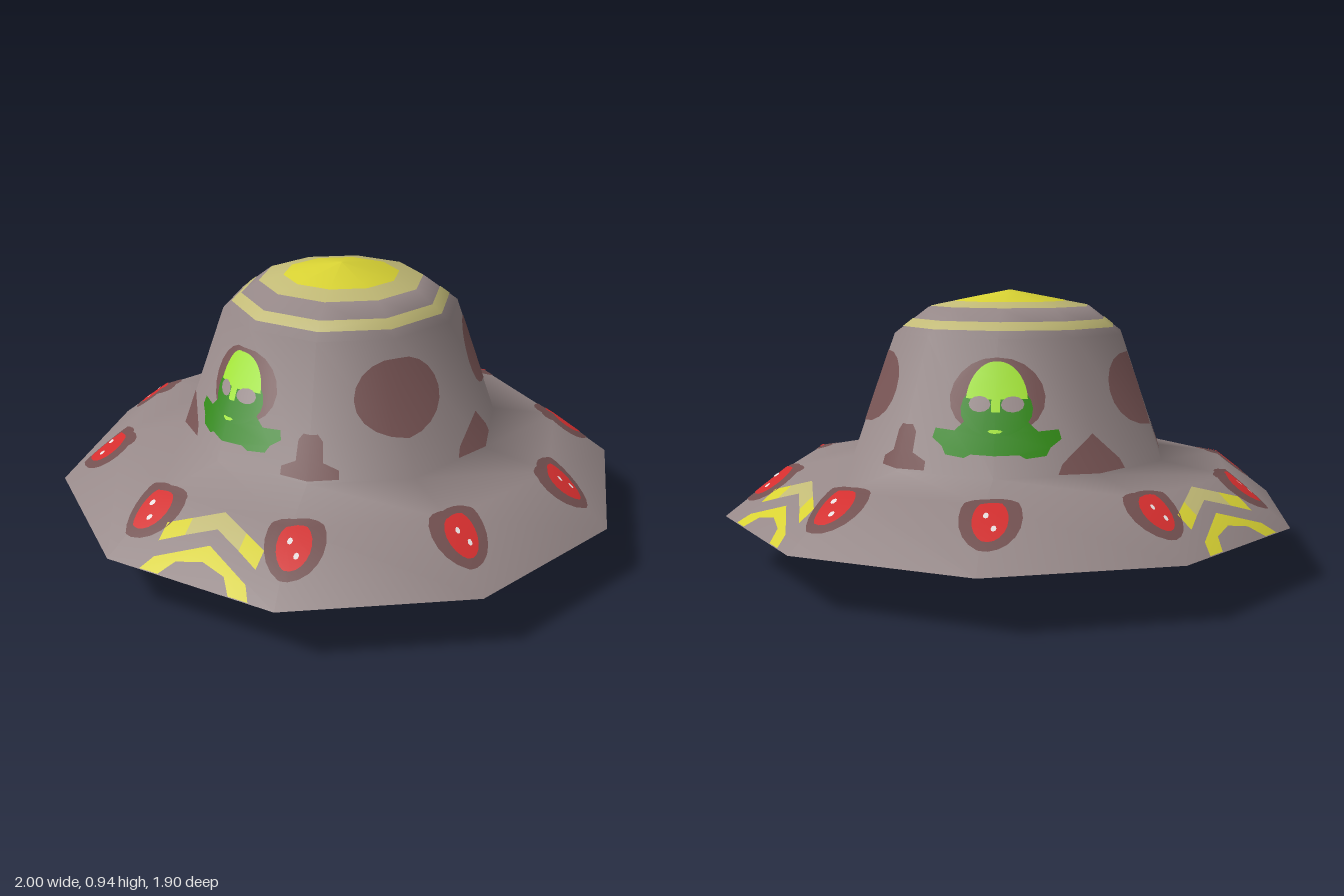
import * as THREE from 'three';

const mat = (name, color) => new THREE.MeshStandardMaterial({ name, color });
const M = {
  hull: mat('hullGrey', 0x968888), brown: mat('spotBrown', 0x725050), red: mat('lampRed', 0xd42e2e),
  pale: mat('paleWhite', 0xefe6e6), lime: mat('limeGreen', 0x9fe030), green: mat('darkGreen', 0x2f8414),
  yellow: mat('brightYellow', 0xd8d233), straw: mat('paleYellow', 0xc2ba76),
};

// Hull profile as [corner radius, height], from the bottom centre to the apex
const PROFILE = [[0, 0], [0.36, 0.003], [1, 0.17], [0.79, 0.33], [0.56, 0.365], [0.41, 0.79], [0.29, 0.88], [0, 0.935]];
const RIM = 2, SIDES = 10, STEP = 36, RAD = Math.PI / 180;

// Smooth profile normals, creased at the rim and at the bottom plate
const segNormal = (j) => {
  const [r0, y0] = PROFILE[j], [r1, y1] = PROFILE[j + 1];
  return new THREE.Vector2(y1 - y0, r0 - r1).normalize();
};
const profileNormal = (j, i) => {
  const n = segNormal(j);
  const other = i === j ? j - 1 : j + 1;
  if (j >= RIM && other >= RIM && other < PROFILE.length - 1) n.add(segNormal(other)).normalize();
  return n;
};

// Surface parameters: a counts panels around, s counts profile segments upward
const panelParam = (deg) => {
  const k = Math.floor((deg + 18) / STEP + 1e-9);
  return k + 0.5 + Math.tan((deg - k * STEP) * RAD) / (2 * Math.tan(18 * RAD));
};
const lookup = (axis, value, from, to) => {
  for (let j = from; j < to; j++) {
    const t = (value - PROFILE[j][axis]) / (PROFILE[j + 1][axis] - PROFILE[j][axis]);
    if (t >= 0 && t <= 1) return j + t;
  }
  return axis === 0 && from === RIM ? RIM : to;
};

// Cuts a convex polygon at one grid line of the surface parameters
function clip(poly, axis, value, sign) {
  const out = [];
  poly.forEach((p, i) => {
    const q = poly[(i + 1) % poly.length];
    const dp = (p[axis] - value) * sign, dq = (q[axis] - value) * sign;
    if (dp >= 0) out.push(p);
    if (dp * dq < 0) {
      const t = dp / (dp - dq);
      out.push([p[0] + (q[0] - p[0]) * t, p[1] + (q[1] - p[1]) * t]);
    }
  });
  return out;
}

// Point and normal on panel k, segment j, raised by lift
function surface(k, j, [a, s], lift) {
  const u = a - k, v = s - j;
  const a0 = (k * STEP - 18) * RAD, a1 = a0 + STEP * RAD;
  const dx = Math.sin(a0) * (1 - u) + Math.sin(a1) * u;
  const dz = Math.cos(a0) * (1 - u) + Math.cos(a1) * u;
  const r = PROFILE[j][0] * (1 - v) + PROFILE[j + 1][0] * v;
  const y = PROFILE[j][1] * (1 - v) + PROFILE[j + 1][1] * v;
  const pn = profileNormal(j, j).lerp(profileNormal(j, j + 1), v);
  const n = new THREE.Vector3(dx * pn.x, pn.y, dz * pn.x).normalize();
  return [new THREE.Vector3(dx * r, y, dz * r).addScaledVector(n, lift), n];
}

// Thin paint that follows the faceted hull; outline is a list of [a, s]
function paint(group, name, material, outline, lift) {
  const pos = [], nor = [];
  const pts = outline.map((p) => new THREE.Vector2(...p));
  for (const face of THREE.ShapeUtils.triangulateShape(pts, [])) {
    let tri = face.map((i) => [pts[i].x, pts[i].y]);
    const [A, B, C] = tri;
    if ((B[0] - A[0]) * (C[1] - A[1]) - (B[1] - A[1]) * (C[0] - A[0]) < 0) tri = [A, C, B];
    const as = tri.map((p) => p[0]), ss = tri.map((p) => p[1]);
    for (let k = Math.floor(Math.min(...as)); k < Math.max(...as); k++) {
      for (let j = Math.floor(Math.min(...ss)); j < Math.min(Math.max(...ss), PROFILE.length - 1); j++) {
        let poly = clip(clip(tri, 0, k, 1), 0, k + 1, -1);
        poly = clip(clip(poly, 1, j, 1), 1, j + 1, -1);
        const v = poly.map((p) => surface(k, j, p, lift));
        for (let i = 1; i + 1 < v.length; i++) {
          for (const [p, n] of [v[0], v[i], v[i + 1]]) {
            pos.push(p.x, p.y, p.z);
            nor.push(n.x, n.y, n.z);
          }
        }
      }
    }
  }
  const g = new THREE.BufferGeometry();
  g.setAttribute('position', new THREE.Float32BufferAttribute(pos, 3));
  g.setAttribute('normal', new THREE.Float32BufferAttribute(nor, 3));
  const mesh = new THREE.Mesh(g, material);
  mesh.name = name;
  group.add(mesh);
}

// Outline helpers: local sizes to surface parameters
const onDome = (deg, pts) => pts.map(([x, y]) => [panelParam(deg + x / 0.47 / RAD), lookup(1, y, RIM, 7)]);
const onBrim = (deg, pts) => pts.map(([x, r]) => [panelParam(deg + Math.atan(x / (r * 0.955)) / RAD), lookup(0, r, RIM, 7)]);
const onBelly = (deg, pts) => pts.map(([x, r]) => [panelParam(deg + Math.atan(x / r) / RAD), lookup(0, r, 1, 2)]);
const ellipse = (cx, cy, rx, ry, from = 0, to = 360, n = 20) =>
  Array.from({ length: n }, (_, i) => {
    const t = (from + ((to - from) * i) / (to - from === 360 ? n : n - 1)) * RAD;
    return [cx + rx * Math.cos(t), cy + ry * Math.sin(t)];
  });
const mirrored = (half) => [...half, ...half.slice().reverse().filter(([x]) => x !== 0).map(([x, y]) => [-x, y])];

export function createModel() {
  const model = new THREE.Group();
  model.name = 'saucer';

  // Hull shells
  const shell = (name, from, to, material) => {
    const pts = PROFILE.slice(from, to + 1).map((p) => new THREE.Vector2(...p));
    const mesh = new THREE.Mesh(new THREE.LatheGeometry(pts, SIDES, Math.PI / SIDES), material);
    mesh.name = name;
    model.add(mesh);
  };
  shell('bottomPlate', 0, 1, M.pale);
  shell('underside', 1, 2, M.hull);
  shell('upperHull', 2, 7, M.hull);

  // Rings around the crown
  const ring = (name, material, r0, r1, lift) => {
    const s0 = lookup(0, r0, RIM, 7), s1 = lookup(0, r1, RIM, 7);
    paint(model, name, material, [[0, s0], [SIDES, s0], [SIDES, s1], [0, s1]], lift);
  };
  ring('crownBand', M.straw, 0.38, 0.345, 0.002);
  ring('crownRing', M.straw, 0.285, 0.19, 0.002);
  ring('crownLight', M.yellow, 0.2, 0, 0.003);

  // Lamps around the brim and the underside
  for (let i = 0; i < SIDES; i++) {
    const deg = 18 + STEP * i, top = deg + 1.4;
    paint(model, 'lampSocket', M.brown, onBrim(top, ellipse(0, 0.835, 0.093, 0.093)), 0.002);
    paint(model, 'lamp', M.red, onBrim(top, ellipse(0, 0.84, 0.052, 0.062)), 0.004);
    for (const [x, r] of [[0.012, 0.865], [-0.012, 0.825]])
      paint(model, 'lampGlint', M.pale, onBrim(top, ellipse(x, r, 0.008, 0.009, 0, 360, 8)), 0.006);
    paint(model, 'lowerLampSocket', M.brown, onBelly(deg, ellipse(0, 0.67, 0.075, 0.14)), 0.002);
    paint(model, 'lowerLamp', M.red, onBelly(deg, ellipse(0, 0.67, 0.037, 0.1)), 0.004);
  }

  // Double chevrons on three brim panels
  for (const deg of [1, 145, 253]) {
    paint(model, 'chevronPeak', M.straw, onBrim(deg, [[-0.1, 0.833], [0, 0.795], [0.1, 0.833], [0.1, 0.882], [0, 0.844], [-0.1, 0.882]]), 0.002);
    for (const m of [-1, 1]) {
      paint(model, 'chevronArm', M.yellow, onBrim(deg, [[0.1 * m, 0.833], [0.18 * m, 0.863], [0.18 * m, 0.915], [0.1 * m, 0.882]]), 0.002);
      paint(model, 'lowerChevron', M.yellow, onBrim(deg, [[0, 0.89], [0.17 * m, 0.958], [0.2 * m, 0.998], [0.13 * m, 0.998], [0.09 * m, 0.955], [0, 0.935]]), 0.002);
    }
  }

  // Large spots on the dome, with marks between them at its foot
  const wedge = mirrored([[0.115, 0.367], [0.1, 0.4], [0.05, 0.445], [0, 0.49]]);
  const stump = mirrored([[0.085, 0.372], [0.085, 0.4], [0.04, 0.425], [0.037, 0.49], [0.022, 0.512]]);
  for (let i = 0; i < 5; i++) {
    paint(model, 'domeSpot', M.brown, onDome(54 + 72 * i, ellipse(0, 0.61, 0.163, 0.122)), 0.002);
    const deg = 18 + 72 * i;
    paint(model, 'footMark', M.brown, onDome(deg, i === 0 || i === 2 ? stump : wedge), 0.002);
  }

  // Green pilots painted on two of the spots
  const shoulders = mirrored([[0.07, 0.43], [0.09, 0.418], [0.15, 0.425], [0.165, 0.45], [0.2, 0.475], [0.195, 0.505], [0.13, 0.5], [0.1, 0.53]]);
  for (const deg of [342, 198]) {
    paint(model, 'pilotBody', M.green, onDome(deg, shoulders), 0.004);
    paint(model, 'pilotHead', M.green, onDome(deg, ellipse(0, 0.572, 0.118, 0.085)), 0.004);
    paint(model, 'pilotBrow', M.lime, onDome(deg, ellipse(0, 0.6, 0.102, 0.118, 0, 180)), 0.006);
    paint(model, 'pilotNose', M.lime, onDome(deg, [[-0.014, 0.605], [-0.014, 0.56], [0.014, 0.56], [0.014, 0.605]]), 0.008);
    for (const m of [-1, 1])
      paint(model, 'pilotEye', M.hull, onDome(deg, ellipse(0.053 * m, 0.583, 0.037, 0.025, 0, 360, 12)), 0.008);
    paint(model, 'pilotMouth', M.lime, onDome(deg, ellipse(0, 0.502, 0.022, 0.006, 0, 360, 8)), 0.006);
  }
  return model;
}
